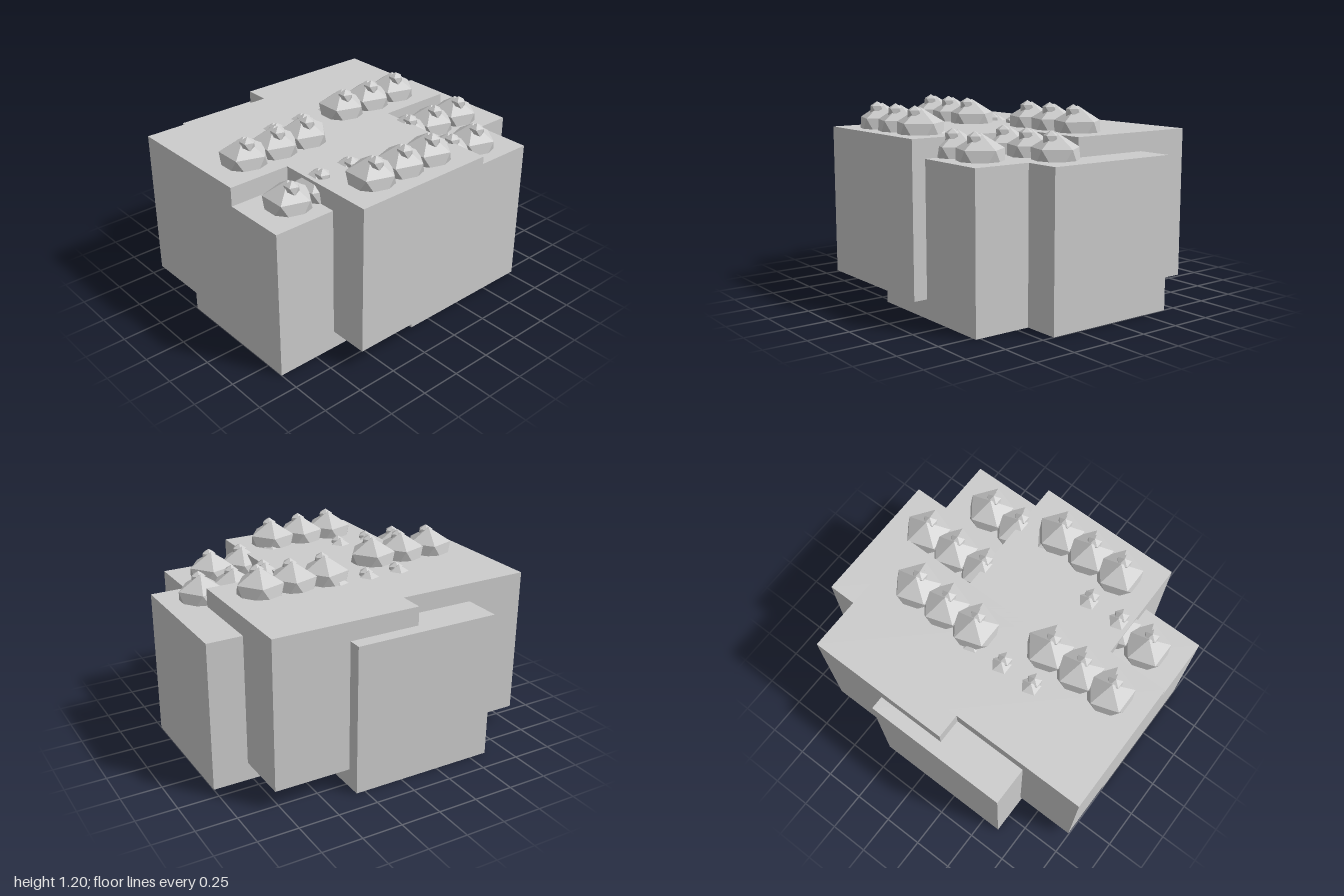
import * as THREE from 'three';

const W = 0.92, H = 0.92, D = 0.85;

export function createModel() {
  const model = new THREE.Group();
  model.name = 'plantedBlocks';
  const stone = new THREE.MeshStandardMaterial({ color: 0xcccccc });
  stone.name = 'lightGrey';

  const boxGeo = new THREE.BoxGeometry(W, H, D);
  // twenty-sided ball with one corner straight up and one upper corner toward +x
  const ball = (r) => new THREE.IcosahedronGeometry(r, 0)
    .rotateZ(-Math.atan(2 / (1 + Math.sqrt(5))));
  const bushGeo = ball(0.16);
  const budGeo = ball(0.05);

  const add = (parent, geo, name, x, y, z) => {
    const mesh = new THREE.Mesh(geo, stone);
    mesh.name = name;
    mesh.position.set(x, y, z);
    parent.add(mesh);
  };

  // each block: name, centre x, base y, centre z
  const blocks = [
    ['frontBlock', -0.155, 0.115, 0.44],
    ['backLeftBlock', 0.32, 0.115, -0.355],
    ['backRightBlock', -0.54, 0.115, -0.2],
    ['leftBlock', 0.54, 0, 0],
    ['frontLeftBlock', 0.32, 0, 0.355],
    ['frontRightBlock', -0.54, 0, 0.195],
    ['backBlock', -0.155, 0, -0.44],
  ];

  for (const [name, x, y, z] of blocks) {
    const block = new THREE.Group();
    block.name = name;
    block.position.set(x, y, z);
    add(block, boxGeo, 'body', 0, H / 2, 0);
    // row of three bushes, each with a bud on top
    for (const dx of [-0.215, 0, 0.215]) {
      add(block, bushGeo, 'bush', dx, H - 0.007, 0.215);
      add(block, budGeo, 'bud', dx, H + 0.113, 0.25);
    }
    model.add(block);
  }
  return model;
}
